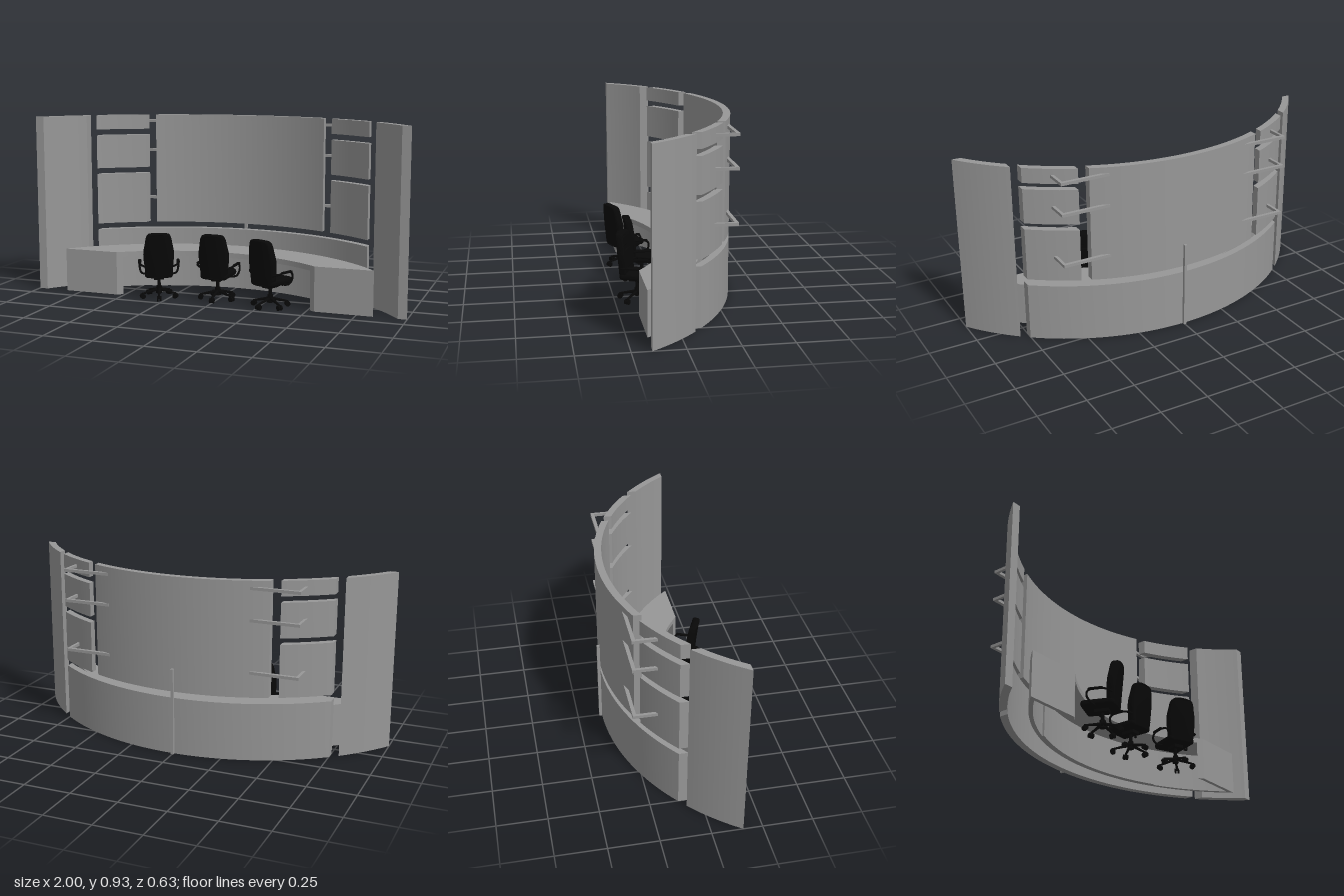
import * as THREE from 'three';
import { toCreasedNormals } from 'three/addons/utils/BufferGeometryUtils.js';
import { RoundedBoxGeometry } from 'three/addons/geometries/RoundedBoxGeometry.js';

const CZ = 0.845;         // shared centre of every arc
const FRONT = 0.155;      // flat front plane where the arcs end
const BASE = 0.006, TOP = 0.936;
const grey = new THREE.MeshStandardMaterial({ color: 0x979797 });
const black = new THREE.MeshStandardMaterial({ color: 0x080808 });

function add(parent, name, geo, mat, x = 0, y = 0, z = 0) {
  const m = new THREE.Mesh(geo, mat);
  m.name = name;
  m.position.set(x, y, z);
  parent.add(m);
  return m;
}

// End cuts of a curved slab: along a constant x, or along a constant z on one side
const atX = x => r => Math.asin(x / r);
const atZ = (z, s) => r => s * Math.acos((CZ - z) / r);

// Curved slab between two radii, two end cuts and two heights
function arcSlab(parent, name, rIn, rOut, cutA, cutB, y0, y1, n = 32) {
  const pts = [];
  const arc = (r, a, b) => {
    for (let i = 0; i <= n; i++) {
      const t = a + (b - a) * i / n;
      pts.push(new THREE.Vector2(r * Math.sin(t), r * Math.cos(t) - CZ));
    }
  };
  arc(rOut, cutA(rOut), cutB(rOut));
  arc(rIn, cutB(rIn), cutA(rIn));
  const geo = new THREE.ExtrudeGeometry(new THREE.Shape(pts), { depth: y1 - y0, bevelEnabled: false });
  geo.rotateX(-Math.PI / 2);
  return add(parent, name, toCreasedNormals(geo, 0.4), grey, 0, y0, 0);
}

function buildWall() {
  const wall = new THREE.Group();
  wall.name = 'backdropWall';
  const rIn = 1.178, rOut = 1.215;
  arcSlab(wall, 'centrePanel', rIn, rOut, atX(-0.475), atX(0.475), 0.341, TOP);
  arcSlab(wall, 'lowerPanel', rIn, rOut, atX(-0.752), atX(0.752), BASE, 0.308, 48);
  for (const s of [-1, 1]) {
    arcSlab(wall, 'wingPanel', rIn, rOut, atX(s * 0.793), atZ(FRONT, s), BASE, TOP, 12);
    for (const [y0, y1] of [[0.341, 0.615], [0.647, 0.827], [0.859, TOP]])
      arcSlab(wall, 'sidePanel', rIn, rOut, atX(s * 0.522), atX(s * 0.752), y0, y1, 12);
    // L-shaped brackets tying the side panels to the centre panel
    for (const y of [0.47, 0.737, 0.898]) {
      add(wall, 'bracketBar', new THREE.BoxGeometry(0.255, 0.015, 0.018), grey, s * 0.511, y, -0.3);
      add(wall, 'bracketArm', new THREE.BoxGeometry(0.015, 0.015, 0.112), grey, s * 0.631, y, -0.241);
    }
  }
  add(wall, 'rearPost', new THREE.BoxGeometry(0.014, 0.457, 0.017), grey, 0, 0.2345, -0.377);
  return wall;
}

function buildDesk() {
  const desk = new THREE.Group();
  desk.name = 'desk';
  const rIn = 0.875, rOut = 1.083;
  arcSlab(desk, 'deskTop', rIn, rOut, atZ(FRONT, -1), atZ(FRONT, 1), 0.207, 0.234, 48);
  arcSlab(desk, 'modestyPanel', rOut - 0.02, rOut, atZ(0.135, -1), atZ(0.135, 1), BASE, 0.207, 48);
  arcSlab(desk, 'innerPanel', rOut - 0.03, rOut - 0.02, atX(-0.45), atX(0.45), BASE, 0.177);
  for (const s of [-1, 1])
    arcSlab(desk, 'endPanel', rIn, rOut, atZ(0.135, s), atZ(FRONT, s), BASE, 0.207, 4);
  return desk;
}

// Padded back: rounded outline, bevelled, then reclined and curved
function backrestGeometry() {
  const half = [[0.045, 0.13], [0.06, 0.14], [0.067, 0.19], [0.072, 0.25], [0.064, 0.3], [0.055, 0.34], [0.035, 0.352]];
  const pts = [...half, ...half.map(([x, y]) => [-x, y]).reverse()].map(p => new THREE.Vector2(...p));
  const shape = new THREE.Shape(new THREE.SplineCurve([...pts, pts[0]]).getPoints(56));
  const geo = new THREE.ExtrudeGeometry(shape, {
    depth: 0.02, bevelThickness: 0.009, bevelSize: 0.007, bevelSegments: 3,
  });
  const p = geo.attributes.position;
  for (let i = 0; i < p.count; i++) {
    const x = p.getX(i), y = p.getY(i);
    p.setZ(i, p.getZ(i) + 0.053 + (y - 0.13) * 0.09 - 2.5 * x * x);
  }
  return toCreasedNormals(geo, 0.7);
}

function buildChair() {
  const chair = new THREE.Group();
  chair.name = 'officeChair';
  add(chair, 'seat', new RoundedBoxGeometry(0.145, 0.036, 0.17, 3, 0.016), black, 0, 0.141, -0.01);
  add(chair, 'backrest', backrestGeometry(), black);
  add(chair, 'headCushion', new RoundedBoxGeometry(0.098, 0.055, 0.02, 3, 0.009), black, 0, 0.318, 0.064).rotation.x = 0.09;
  add(chair, 'lumbarCushion', new RoundedBoxGeometry(0.11, 0.1, 0.02, 3, 0.009), black, 0, 0.225, 0.054).rotation.x = 0.09;
  add(chair, 'tiltMechanism', new THREE.BoxGeometry(0.05, 0.016, 0.07), black, 0, 0.115, 0);
  add(chair, 'gasLift', new THREE.CylinderGeometry(0.009, 0.009, 0.06, 14), black, 0, 0.086, 0);
  add(chair, 'liftSleeve', new THREE.CylinderGeometry(0.014, 0.016, 0.04, 14), black, 0, 0.05, 0);

  // Looped arms from under the seat up to the backrest
  for (const s of [-1, 1]) {
    const path = new THREE.CatmullRomCurve3([
      [0.06, 0.126, -0.02], [0.092, 0.132, -0.035], [0.102, 0.165, -0.052], [0.1, 0.19, -0.045],
      [0.1, 0.196, 0], [0.092, 0.19, 0.05], [0.066, 0.182, 0.068],
    ].map(([x, y, z]) => new THREE.Vector3(s * x, y, z)));
    add(chair, 'armLoop', new THREE.TubeGeometry(path, 28, 0.0055, 8), black);
    add(chair, 'armPad', new RoundedBoxGeometry(0.018, 0.011, 0.075, 2, 0.005), black, s * 0.1, 0.197, -0.008);
  }

  // Five-star base on twin casters
  for (let i = 0; i < 5; i++) {
    const spoke = new THREE.Group();
    spoke.name = 'baseSpoke';
    spoke.rotation.y = i * Math.PI * 2 / 5;
    const leg = new THREE.CylinderGeometry(0.005, 0.009, 0.094, 8);
    add(spoke, 'leg', leg, black, 0, 0.042, 0.046).rotation.x = Math.PI / 2 + 0.22;
    add(spoke, 'casterStem', new THREE.CylinderGeometry(0.004, 0.004, 0.018, 8), black, 0, 0.028, 0.089);
    for (const s of [-1, 1])
      add(spoke, 'casterWheel', new THREE.CylinderGeometry(0.0135, 0.0135, 0.009, 16), black, s * 0.007, 0.0195, 0.089)
        .rotation.z = Math.PI / 2;
    chair.add(spoke);
  }
  return chair;
}

export function createModel() {
  const model = new THREE.Group();
  model.name = 'studioDesk';
  model.add(buildWall(), buildDesk());
  // Chairs spaced along the desk's inner arc, facing the desk
  for (const angle of [-0.405, 0, 0.405]) {
    const pivot = new THREE.Group();
    pivot.name = 'chairPlace';
    pivot.position.z = CZ;
    pivot.rotation.y = angle;
    const chair = buildChair();
    chair.position.z = -0.773;
    pivot.add(chair);
    model.add(pivot);
  }
  return model;
}
